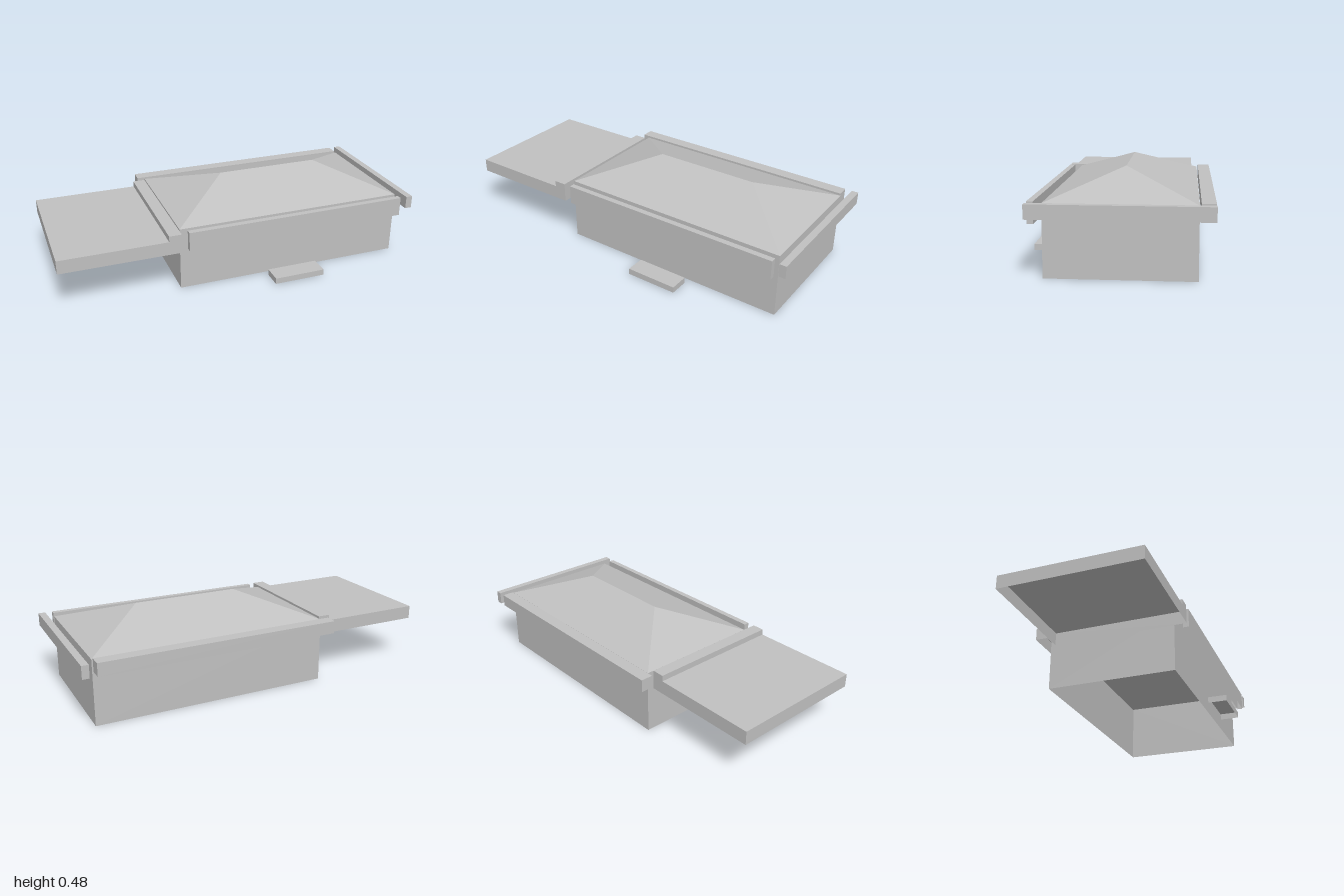
import * as THREE from 'three';

// Box from min/max extents, open underneath
function openBox(name, mat, [x0, x1], [y0, y1], [z0, z1], openTop = false) {
  const g = new THREE.BoxGeometry(x1 - x0, y1 - y0, z1 - z0);
  const idx = Array.from(g.index.array);
  // faces run +x, -x, +y, -y, +z, -z with six indices each
  g.setIndex(idx.filter((_, i) => {
    const face = Math.floor(i / 6);
    return face !== 3 && !(openTop && face === 2);
  }));
  g.clearGroups();
  g.translate((x0 + x1) / 2, (y0 + y1) / 2, (z0 + z1) / 2);
  const m = new THREE.Mesh(g, mat);
  m.name = name;
  return m;
}

// Hip roof: four eave corners and a ridge along x
function hipRoof(mat, [x0, x1], [z0, z1], eave, ridgeX, ridgeY, ridgeZ) {
  const a = [x0, eave, z1], b = [x1, eave, z1], c = [x1, eave, z0], d = [x0, eave, z0];
  const r = [ridgeX[0], ridgeY, ridgeZ], s = [ridgeX[1], ridgeY, ridgeZ];
  const tris = [a, b, s, a, s, r, c, d, r, c, r, s, b, c, s, d, a, r];
  const g = new THREE.BufferGeometry();
  g.setAttribute('position', new THREE.Float32BufferAttribute(tris.flat(), 3));
  g.computeVertexNormals();
  const m = new THREE.Mesh(g, mat);
  m.name = 'hipRoof';
  return m;
}

export function createModel() {
  const group = new THREE.Group();
  group.name = 'house';
  const grey = new THREE.MeshStandardMaterial({ color: 0xc0c0c0, side: THREE.DoubleSide });
  grey.name = 'plain grey';

  const hx = [-0.354, 0.93], hz = [-0.39, 0.321];
  group.add(
    // main body and roof
    openBox('walls', grey, hx, [0, 0.35], hz, true),
    hipRoof(grey, hx, hz, 0.35, [0.002, 0.576], 0.478, -0.035),
    // parapets around the roof
    openBox('frontParapet', grey, [-0.322, 0.925], [0.252, 0.357], [0.36, 0.391]),
    openBox('backParapet', grey, [-0.395, 0.925], [0.288, 0.357], [-0.465, -0.398]),
    openBox('leftParapet', grey, [0.963, 1], [0.288, 0.357], [-0.465, 0.391]),
    openBox('rightParapet', grey, [-0.43, -0.363], [0.325, 0.357], [-0.36, 0.391]),
    // side canopy and front step
    openBox('canopy', grey, [-1, -0.363], [0.252, 0.325], [-0.36, 0.391]),
    openBox('doorStep', grey, [0.138, 0.424], [0.002, 0.035], [0.36, 0.465]),
  );
  return group;
}
